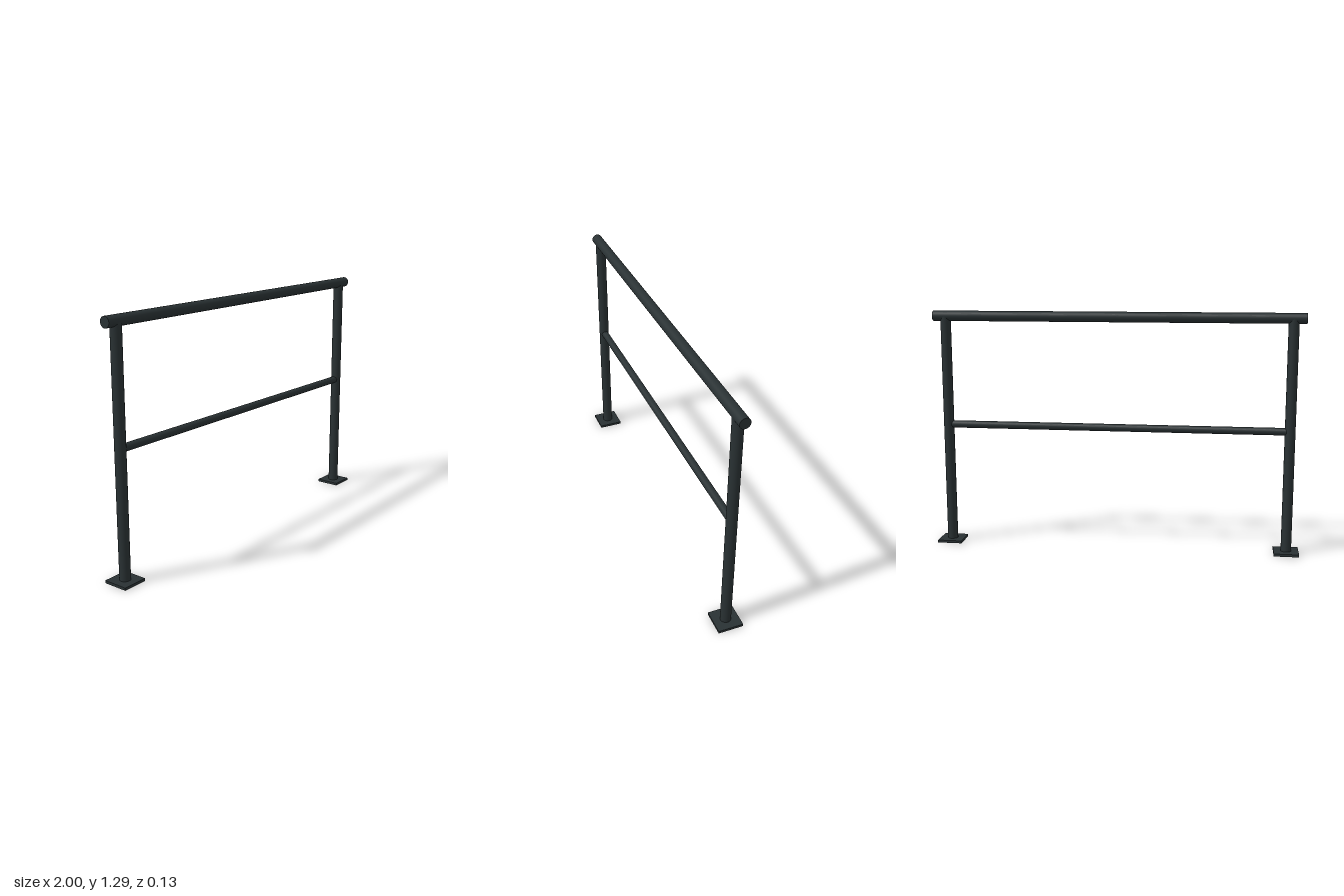
import * as THREE from 'three';

export function createModel() {
  const group = new THREE.Group();
  group.name = 'railing';
  const steel = new THREE.MeshStandardMaterial({ color: 0x293133 });
  steel.name = 'anthracite steel';

  const tubeRadius = 0.028, railY = 1.267, postX = 0.933;
  const plateSize = 0.134, plateHeight = 0.014;

  function add(name, geometry, x, y) {
    const mesh = new THREE.Mesh(geometry, steel);
    mesh.name = name;
    mesh.position.set(x, y, 0);
    group.add(mesh);
  }

  // horizontal tube along x
  const bar = (radius, length) =>
    new THREE.CylinderGeometry(radius, radius, length, 32).rotateZ(Math.PI / 2);

  add('handrail', bar(tubeRadius, 2), 0, railY);
  add('middleRail', bar(0.02, postX * 2), 0, 0.67);

  // posts on square foot plates
  for (const [side, s] of [['left', 1], ['right', -1]]) {
    const height = railY - plateHeight;
    add(side + 'Post', new THREE.CylinderGeometry(tubeRadius, tubeRadius, height, 32),
      s * postX, plateHeight + height / 2);
    add(side + 'FootPlate', new THREE.BoxGeometry(plateSize, plateHeight, plateSize),
      s * postX, plateHeight / 2);
  }
  return group;
}
